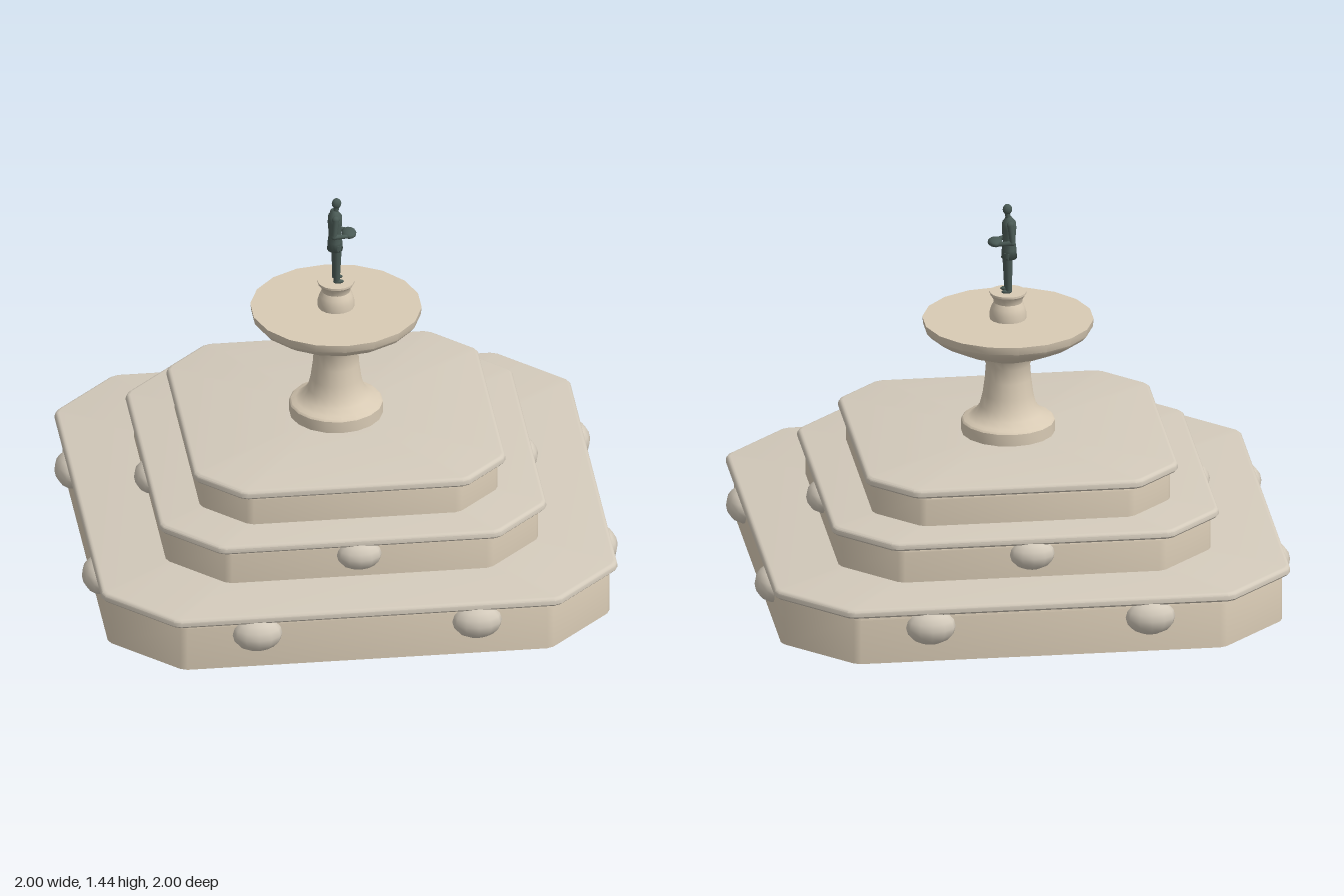
import * as THREE from 'three';
import { toCreasedNormals } from 'three/addons/utils/BufferGeometryUtils.js';

const stone = new THREE.MeshStandardMaterial({ color: 0xd8cab4, side: THREE.DoubleSide });
const paleStone = new THREE.MeshStandardMaterial({ color: 0xd3cabb, side: THREE.DoubleSide });
const bronze = new THREE.MeshStandardMaterial({ color: 0x4a5a55 });

function add(parent, name, geometry, material) {
  const mesh = new THREE.Mesh(geometry, material);
  mesh.name = name;
  parent.add(mesh);
  return mesh;
}

// Square outline with cut corners, each bend eased by a short facet
function outline(half, cut, y) {
  const c = half - cut, e = 0.015, d = e * Math.SQRT1_2;
  const corner = [[half, c - e], [half - d, c + d], [c + d, half - d], [c - e, half]];
  const ring = [];
  for (let k = 0; k < 4; k++) {
    const cos = Math.round(Math.cos(k * Math.PI / 2)), sin = Math.round(Math.sin(k * Math.PI / 2));
    for (const [x, z] of corner) ring.push([x * cos - z * sin, y, x * sin + z * cos]);
  }
  return ring;
}

// Skin between cut-corner outlines; profile entries are [half width, y], from bottom to top
function slab(profile, base, cut, closedBottom) {
  const rings = profile.map(([h, y]) => outline(h, cut - (base - h) * 0.586, y));
  const n = rings[0].length, pos = [], tri = (a, b, c) => pos.push(...a, ...b, ...c);
  for (let r = 0; r < rings.length - 1; r++) {
    for (let i = 0; i < n; i++) {
      const j = (i + 1) % n, lo = rings[r], hi = rings[r + 1];
      tri(lo[i], hi[i], lo[j]);
      tri(lo[j], hi[i], hi[j]);
    }
  }
  const first = rings[0], last = rings[rings.length - 1];
  for (let i = 0; i < n; i++) {
    const j = (i + 1) % n;
    tri([0, last[0][1], 0], last[j], last[i]);
    if (closedBottom) tri([0, first[0][1], 0], first[i], first[j]);
  }
  const g = new THREE.BufferGeometry();
  g.setAttribute('position', new THREE.Float32BufferAttribute(pos, 3));
  return toCreasedNormals(g, 0.5);
}

// Rounded upper edge of radius r
function roundedTop(half, y, r) {
  const pts = [];
  for (let i = 0; i <= 4; i++) {
    const a = i * Math.PI / 8;
    pts.push([half - r + r * Math.cos(a), y - r + r * Math.sin(a)]);
  }
  return pts;
}

function turned(points) {
  const g = new THREE.LatheGeometry(points.map(p => new THREE.Vector2(...p)), 18);
  return toCreasedNormals(g, 0.6);
}

// Tapered limb between two points
function limb(parent, name, a, b, ra, rb) {
  const from = new THREE.Vector3(...a), to = new THREE.Vector3(...b);
  const dir = to.clone().sub(from);
  const mesh = add(parent, name, new THREE.CylinderGeometry(rb, ra, dir.length(), 8), bronze);
  mesh.position.copy(from).add(to).multiplyScalar(0.5);
  mesh.quaternion.setFromUnitVectors(new THREE.Vector3(0, 1, 0), dir.normalize());
}

function ball(parent, name, pos, scale, material, w = 10, h = 8) {
  const mesh = add(parent, name, new THREE.SphereGeometry(1, w, h), material);
  mesh.position.set(...pos);
  mesh.scale.set(...scale);
}

// Statue facing +x, holding a small basin
function statue() {
  const g = new THREE.Group();
  g.name = 'statue';
  for (const s of [-1, 1]) {
    limb(g, 'leg', [0, 1.1, s * 0.018], [0.002, 1.25, s * 0.018], 0.012, 0.018);
    ball(g, 'shoe', [0.007, 1.096, s * 0.019], [0.02, 0.008, 0.01], bronze);
    limb(g, 'upperArm', [-0.005, 1.363, s * 0.034], [-0.012, 1.295, s * 0.041], 0.012, 0.01);
    limb(g, 'forearm', [-0.012, 1.295, s * 0.041], [0.045, 1.287, s * 0.026], 0.01, 0.007);
    ball(g, 'shoulder', [-0.005, 1.363, s * 0.032], [0.014, 0.014, 0.013], bronze);
    ball(g, 'elbow', [-0.012, 1.295, s * 0.041], [0.011, 0.011, 0.01], bronze);
  }
  const coat = add(g, 'coat', new THREE.LatheGeometry([
    [0, 1.225], [0.037, 1.225], [0.034, 1.26], [0.029, 1.29], [0.034, 1.34],
    [0.032, 1.365], [0.012, 1.385], [0, 1.387]
  ].map(p => new THREE.Vector2(...p)), 12), bronze);
  coat.scale.x = 0.8;
  coat.position.x = -0.004;
  limb(g, 'neck', [0, 1.38, 0], [0.002, 1.405, 0], 0.01, 0.009);
  ball(g, 'head', [0.002, 1.415, 0], [0.018, 0.021, 0.015], bronze);
  ball(g, 'heldBasin', [0.048, 1.288, 0], [0.028, 0.016, 0.038], bronze, 12, 8);
  return g;
}

export function createModel() {
  const model = new THREE.Group();
  model.name = 'fountain';

  // Three stacked tiers: wall open below, overhanging cornice, bosses on the sides
  const tiers = [
    { name: 'lowerTier', y: 0, ledge: 0.19, top: 0.222, wall: 0.936, rim: 0.963, cut: 0.25, bosses: [-0.41, 0.41], size: [0.095, 0.068, 0.07], bossY: 0.135 },
    { name: 'middleTier', y: 0.215, ledge: 0.357, top: 0.388, wall: 0.695, rim: 0.722, cut: 0.205, bosses: [0], size: [0.086, 0.06, 0.065], bossY: 0.312 },
    { name: 'upperTier', y: 0.38, ledge: 0.507, top: 0.54, wall: 0.556, rim: 0.582, cut: 0.165, bosses: [] }
  ];
  for (const t of tiers) {
    const tier = new THREE.Group();
    tier.name = t.name;
    model.add(tier);
    add(tier, 'tierWall', slab([[t.wall, t.y], ...roundedTop(t.wall, t.ledge, 0.018)], t.wall, t.cut, false), stone);
    add(tier, 'cornice', slab([[t.rim - 0.008, t.ledge - 0.002], [t.rim, t.ledge + 0.006],
      ...roundedTop(t.rim, t.top, 0.016)], t.rim, t.cut, true), paleStone);
    for (let k = 0; k < 4; k++) {
      const side = new THREE.Group();
      side.name = 'bossRow';
      side.rotation.y = k * Math.PI / 2;
      for (const x of t.bosses) ball(side, 'boss', [x, t.bossY, t.wall - 0.006], t.size, paleStone, 12, 8);
      if (t.bosses.length) tier.add(side);
    }
  }

  // Turned pedestal and basin
  add(model, 'pedestal', turned([[0, 0.54], [0.174, 0.54], [0.174, 0.585], [0.168, 0.592], [0.15, 0.597],
    [0.125, 0.615], [0.105, 0.645], [0.094, 0.69], [0.086, 0.75], [0.082, 0.805], [0.098, 0.84]]), stone);
  add(model, 'basin', turned([[0.098, 0.84], [0.14, 0.858], [0.2, 0.882], [0.26, 0.912],
    [0.3, 0.938], [0.314, 0.955], [0.318, 0.985], [0, 0.985]]), stone);

  // Plinth for the statue
  add(model, 'statuePlinth', turned([[0.068, 0.984], [0.068, 1.012], [0.062, 1.032], [0.053, 1.05],
    [0.056, 1.066], [0.068, 1.082], [0.068, 1.09], [0, 1.09]]), stone);

  model.add(statue());
  return model;
}
